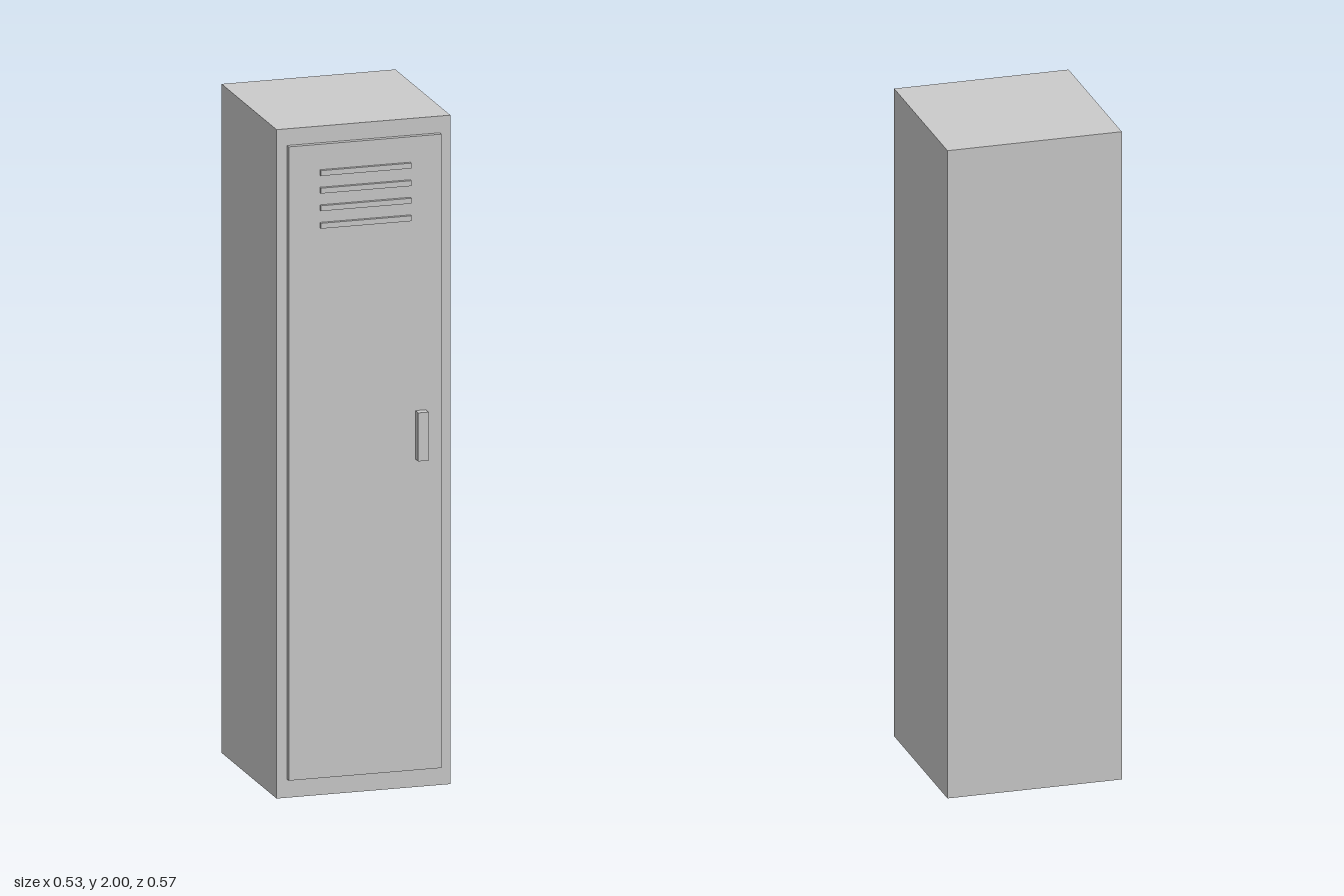
import * as THREE from 'three';

const material = new THREE.MeshStandardMaterial({ color: 0xcccccc });

// Box given by its low and high corners
function box(name, [x0, y0, z0], [x1, y1, z1]) {
  const mesh = new THREE.Mesh(new THREE.BoxGeometry(x1 - x0, y1 - y0, z1 - z0), material);
  mesh.position.set((x0 + x1) / 2, (y0 + y1) / 2, (z0 + z1) / 2);
  mesh.name = name;
  return mesh;
}

export function createModel() {
  const locker = new THREE.Group();
  locker.name = 'locker';

  const bodyFront = 0.241;
  const doorFront = 0.257;

  // Cabinet and raised door panel
  locker.add(box('body', [-0.263, 0, -0.284], [0.263, 2, bodyFront]));
  locker.add(box('door', [-0.231, 0.055, bodyFront], [0.231, 1.95, doorFront]));

  // Vent slats near the top of the door
  const vents = new THREE.Group();
  vents.name = 'vents';
  for (let i = 0; i < 4; i++) {
    const y = 1.866 - i * 0.0525;
    vents.add(box(`ventSlat${i + 1}`, [-0.137, y - 0.008, doorFront], [0.137, y + 0.008, 0.268]));
  }
  locker.add(vents);

  // Handle on the opening side
  locker.add(box('handle', [0.152, 0.985, doorFront], [0.184, 1.13, 0.284]));

  return locker;
}
